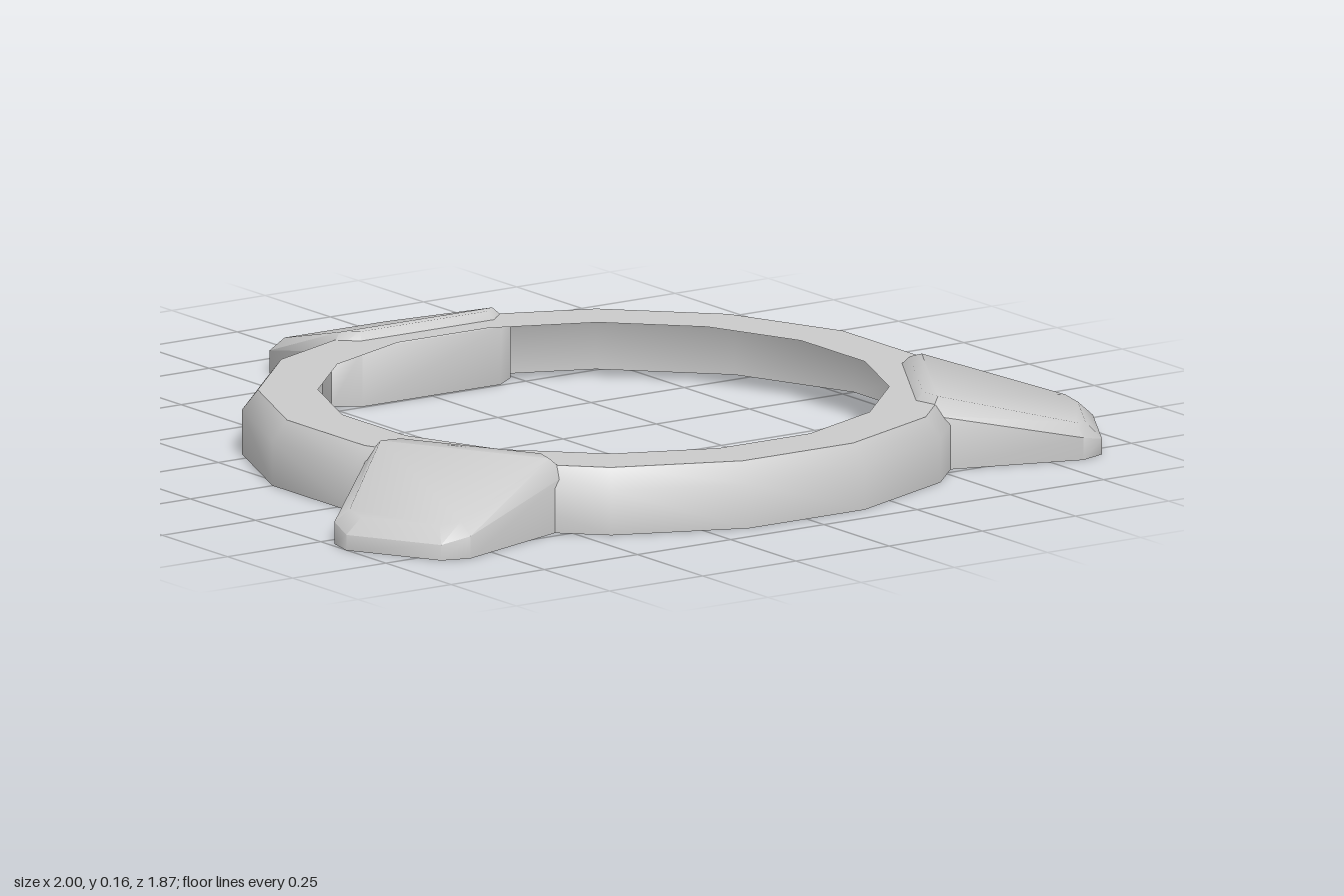
import * as THREE from 'three';
import { toCreasedNormals } from 'three/addons/utils/BufferGeometryUtils.js';

const material = new THREE.MeshStandardMaterial({ color: 0xcccccc, side: THREE.DoubleSide });
const CREASE = 0.9;

// Half outlines of a foot from its outer tip to its inner end: [half width, y, radius]
const footLevels = [
  [[0.115, 0, 1.09], [0.165, 0, 1.045], [0.24, 0, 0.7], [0.185, 0, 0.66]],
  [[0.115, 0.035, 1.09], [0.165, 0.05, 1.045], [0.24, 0.125, 0.7], [0.185, 0.13, 0.66]],
  [[0.095, 0.07, 1.055], [0.135, 0.078, 1.03], [0.205, 0.16, 0.72], [0.17, 0.162, 0.69]],
];

// Hollow foot: mirrored outlines joined level to level, capped on top, open below
function footGeometry() {
  const positions = [];
  const index = [];
  for (const half of footLevels) {
    const mirrored = half.map(([x, y, z]) => [-x, y, z]).reverse();
    positions.push(...half.flat(), ...mirrored.flat());
  }
  const n = 8;
  for (let level = 0; level < footLevels.length - 1; level++) {
    for (let i = 0; i < n; i++) {
      const a = level * n + i;
      const b = level * n + (i + 1) % n;
      index.push(a, b, b + n, a, b + n, a + n);
    }
  }
  const t = (footLevels.length - 1) * n;
  for (let i = 0; i < 3; i++) {
    index.push(t + i, t + i + 1, t + 6 - i, t + i, t + 6 - i, t + 7 - i);
  }
  const geometry = new THREE.BufferGeometry();
  geometry.setAttribute('position', new THREE.Float32BufferAttribute(positions, 3));
  geometry.setIndex(index);
  return toCreasedNormals(geometry, CREASE);
}

// Sixteen-sided ring: outer wall, chamfer and flat top, open on the underside
function ringGeometry() {
  const profile = [[0.795, 0], [0.795, 0.1], [0.76, 0.145], [0.628, 0.145]]
    .map(([r, y]) => new THREE.Vector2(r, y));
  return toCreasedNormals(new THREE.LatheGeometry(profile, 16, Math.PI / 16), CREASE);
}

export function createModel() {
  const model = new THREE.Group();
  model.name = 'ringStand';

  const ring = new THREE.Mesh(ringGeometry(), material);
  ring.name = 'ring';
  model.add(ring);

  // Three feet spaced evenly around the ring
  const geometry = footGeometry();
  const feet = { backFoot: Math.PI, leftFoot: Math.PI / 3, rightFoot: -Math.PI / 3 };
  for (const [name, angle] of Object.entries(feet)) {
    const foot = new THREE.Mesh(geometry, material);
    foot.name = name;
    foot.rotation.y = angle;
    model.add(foot);
  }

  // The ring centre sits forward so the whole footprint is centred
  model.children.forEach((part) => { part.position.z = 0.155; });
  return model;
}
